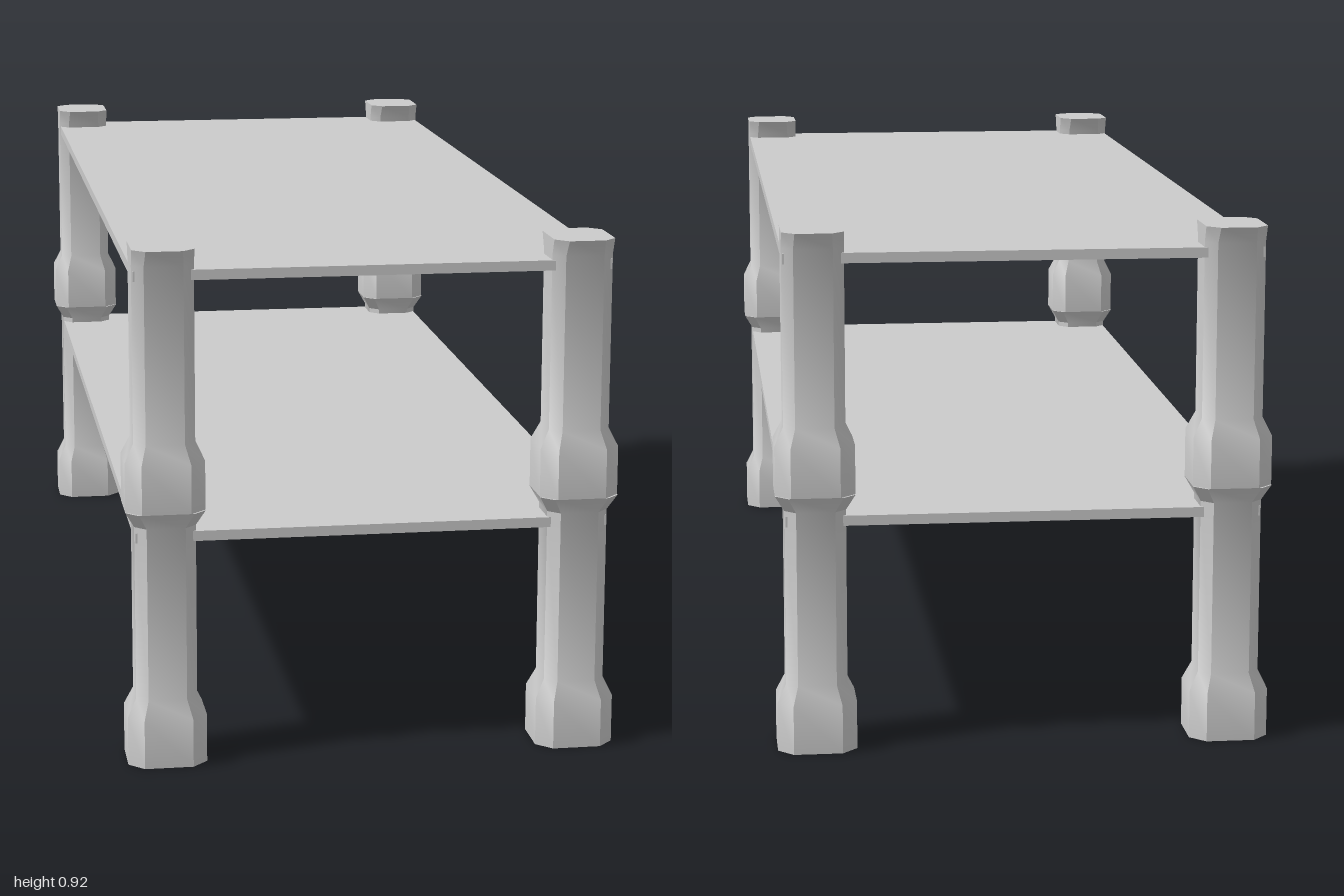
import * as THREE from 'three';
import { toCreasedNormals } from 'three/addons/utils/BufferGeometryUtils.js';

const material = new THREE.MeshStandardMaterial({ color: 0xcccccc });

// Chamfered rectangle, eight corners, at height y
function ring([y, hx, hz, c]) {
  return [
    [hx, -hz + c], [hx, hz - c], [hx - c, hz], [-hx + c, hz],
    [-hx, hz - c], [-hx, -hz + c], [-hx + c, -hz], [hx - c, -hz],
  ].map(([x, z]) => [x, y, z]);
}

// Capped loft through a stack of chamfered rectangles
function loft(sections) {
  const rings = sections.map(ring);
  const pos = [];
  const tri = (...pts) => pts.forEach((p) => pos.push(...p));
  const last = rings.length - 1;
  for (let i = 0; i < 8; i++) {
    const j = (i + 1) % 8;
    for (let k = 0; k < last; k++) {
      const a = rings[k][i], b = rings[k][j], c = rings[k + 1][j], d = rings[k + 1][i];
      tri(a, d, c);
      tri(a, c, b);
    }
    tri([0, sections[0][0], 0], rings[0][i], rings[0][j]);
    tri([0, sections[last][0], 0], rings[last][j], rings[last][i]);
  }
  const geo = new THREE.BufferGeometry();
  geo.setAttribute('position', new THREE.Float32BufferAttribute(pos, 3));
  return toCreasedNormals(geo, 0.6);
}

// One post segment: wide foot, slim shaft, flared head
const postSections = (headHalfWidth) => [
  [0, 0.07, 0.0675, 0.027],
  [0.087, 0.07, 0.0675, 0.027],
  [0.12, 0.054, 0.052, 0.02],
  [0.432, 0.054, 0.052, 0.02],
  [0.461, headHalfWidth, 0.0675, 0.022],
];

export function createModel() {
  const model = new THREE.Group();
  const add = (name, geo, x, y, z) => {
    const mesh = new THREE.Mesh(geo, material);
    mesh.name = name;
    mesh.position.set(x, y, z);
    model.add(mesh);
  };

  // Corner posts, two stacked segments each
  const lowerPost = loft(postSections(0.07));
  const upperPost = loft(postSections(0.054));
  for (const sx of [-1, 1]) {
    for (const sz of [-1, 1]) {
      const name = (sz > 0 ? 'front' : 'back') + (sx > 0 ? 'Left' : 'Right');
      add(name + 'LowerPost', lowerPost, sx * 0.367, 0, sz * 0.9325);
      add(name + 'UpperPost', upperPost, sx * 0.367, 0.461, sz * 0.9325);
    }
  }

  // Thin shelves
  const shelf = new THREE.BoxGeometry(0.838, 0.018, 1.94);
  add('lowerShelf', shelf, 0, 0.413, 0);
  add('upperShelf', shelf, 0, 0.875, 0);

  return model;
}
